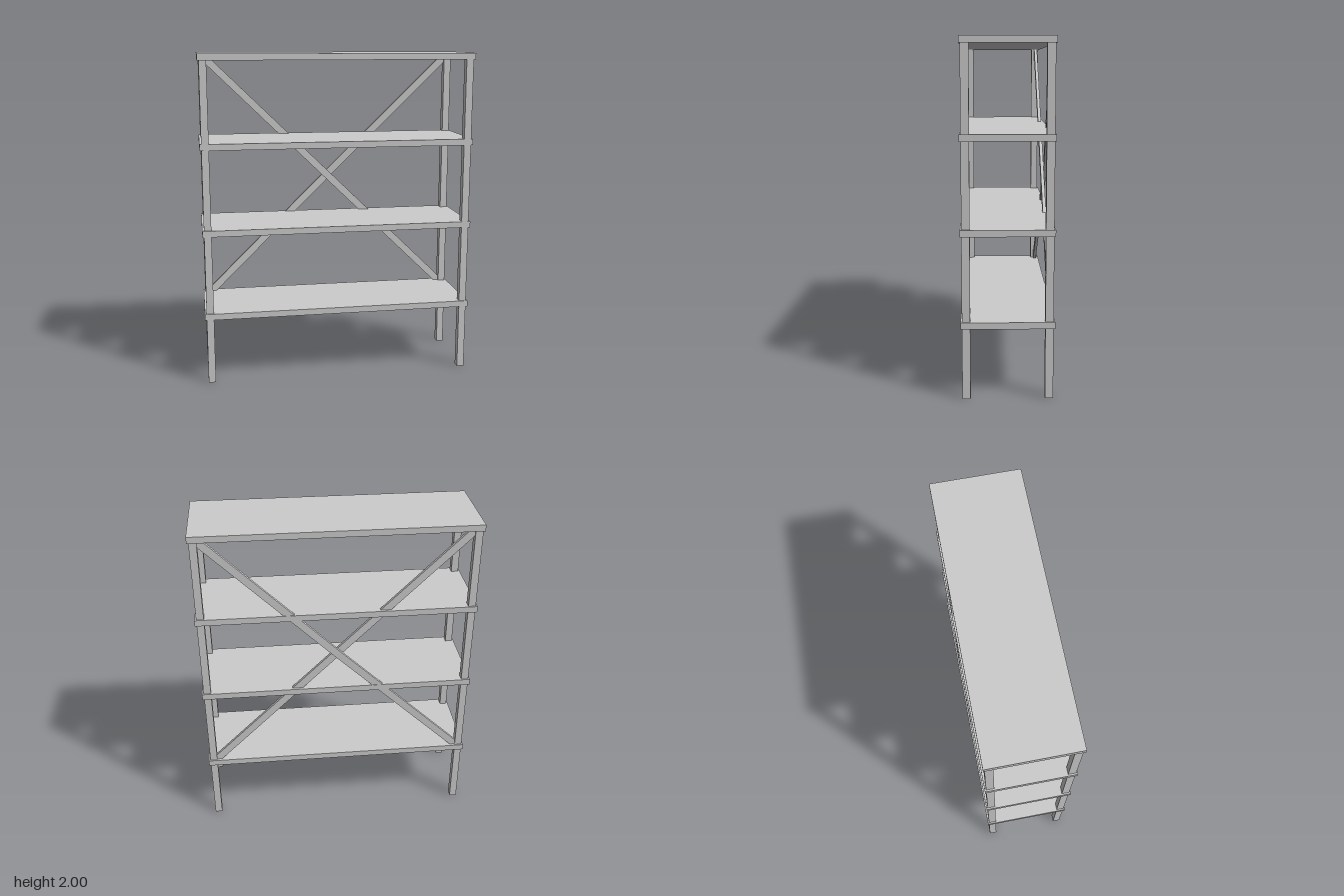
import * as THREE from 'three';

const material = new THREE.MeshStandardMaterial({ color: 0xcccccc, flatShading: true });

function addMesh(parent, name, geometry, x = 0, y = 0, z = 0) {
  const mesh = new THREE.Mesh(geometry, material);
  mesh.name = name;
  mesh.position.set(x, y, z);
  parent.add(mesh);
  return mesh;
}

// Half of a diagonal brace, from the bottom right corner of the frame to its centre.
// Its inner end is pushed back by `bow`, so one brace can pass over the other.
function halfBrace(halfW, halfH, bow) {
  const trim = 0.032, thick = 0.02;
  const along = new THREE.Vector2(halfW, -halfH).normalize();
  const side = new THREE.Vector2(-along.y, along.x).multiplyScalar(trim * along.x);
  const shape = new THREE.Shape([
    new THREE.Vector2(-side.x, -side.y),
    new THREE.Vector2(halfW - trim, -halfH),
    new THREE.Vector2(halfW, -halfH),
    new THREE.Vector2(halfW, -halfH + trim),
    side,
  ]);
  const geometry = new THREE.ExtrudeGeometry(shape, { depth: thick, bevelEnabled: false });
  const pos = geometry.attributes.position;
  const reach = Math.hypot(halfW, halfH);
  for (let i = 0; i < pos.count; i++) {
    const t = (pos.getX(i) * along.x + pos.getY(i) * along.y) / reach;
    pos.setZ(i, pos.getZ(i) - bow * (1 - t));
  }
  geometry.computeVertexNormals();
  return geometry;
}

export function createModel() {
  const group = new THREE.Group();
  group.name = 'shelvingUnit';

  // Four evenly spaced shelves
  const shelf = new THREE.BoxGeometry(1.66, 0.038, 0.524);
  for (let i = 0; i < 4; i++) addMesh(group, 'shelf', shelf, 0, 0.425 + i * 0.5187, 0.002);

  // Corner posts
  const post = new THREE.BoxGeometry(0.044, 1.97, 0.046);
  for (const x of [-0.798, 0.798]) {
    addMesh(group, 'frontPost', post, x, 0.985, 0.233);
    addMesh(group, 'backPost', post, x, 0.985, -0.229);
  }

  // Crossed braces at the back: a straight one and one bent over it
  const braces = [['straightBrace', 0, 0], ['bentBrace', 0.02, Math.PI]];
  for (const [name, bow, flip] of braces) {
    const brace = new THREE.Group();
    brace.name = name;
    brace.position.set(0, 1.203, -0.234);
    brace.rotation.y = flip;
    // The flipped brace faces the other way, so its bow is reversed
    const geometry = halfBrace(0.776, 0.759, flip ? -bow : bow);
    geometry.translate(0, 0, -0.01);
    addMesh(brace, 'braceHalf', geometry);
    addMesh(brace, 'braceHalf', geometry).rotation.z = Math.PI;
    group.add(brace);
  }
  return group;
}
